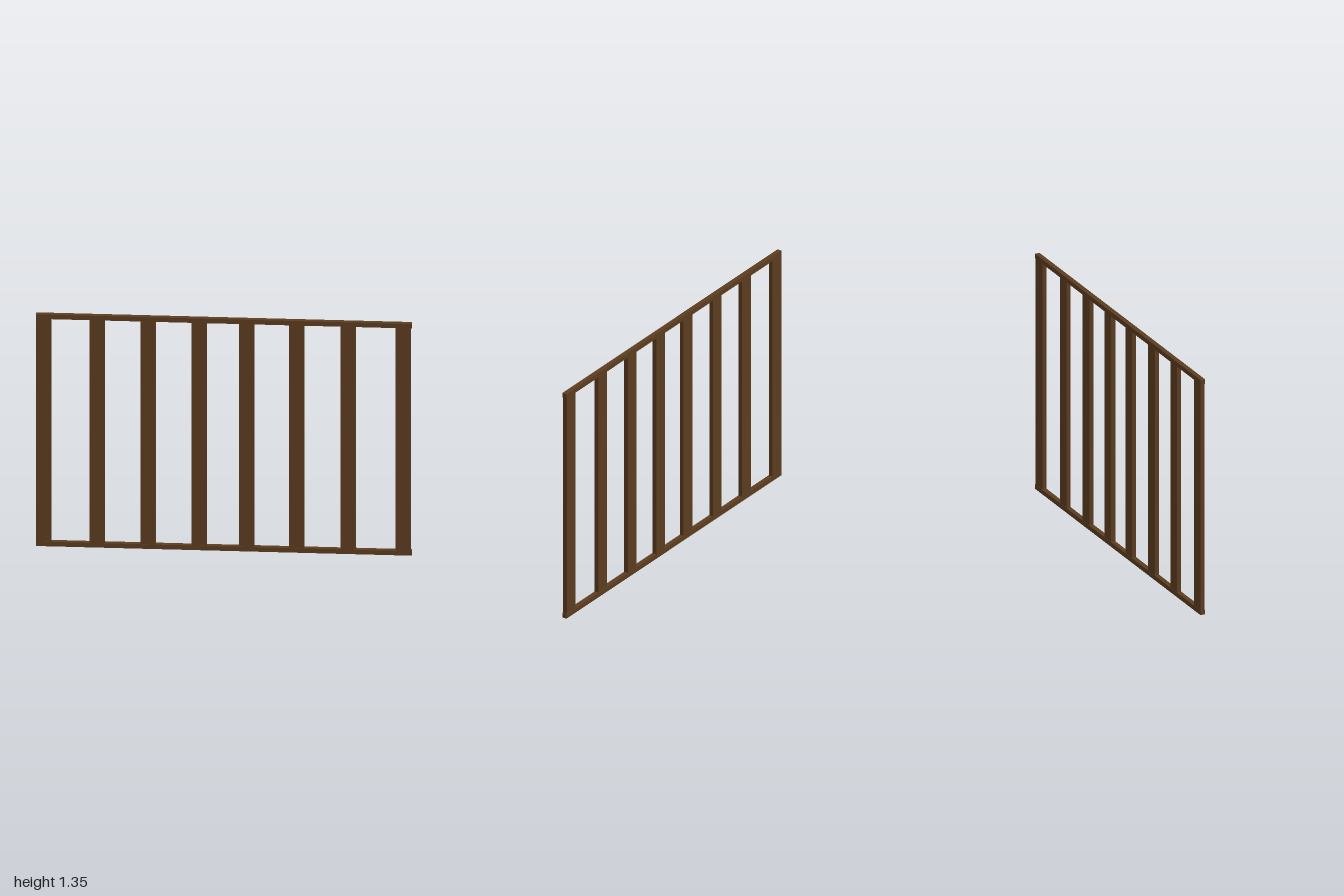
import * as THREE from 'three';

export function createModel() {
  const group = new THREE.Group();
  const wood = new THREE.MeshStandardMaterial({ color: 0x5c3c20 });
  const height = 1.345, railHeight = 0.026, railDepth = 0.027;
  const slatWidth = 0.081, slatDepth = 0.024;

  function addBoard(name, width, tall, depth, x, y) {
    const board = new THREE.Mesh(new THREE.BoxGeometry(width, tall, depth), wood);
    board.name = name;
    board.position.set(x, y, 0);
    group.add(board);
  }

  // Horizontal rails along the bottom and top
  addBoard('bottomRail', 2, railHeight, railDepth, 0, railHeight / 2);
  addBoard('topRail', 2, railHeight, railDepth, 0, height - railHeight / 2);

  // Upright slats, slightly unevenly spaced, between the rails
  const slatX = [-0.958, -0.674, -0.404, -0.131, 0.122, 0.387, 0.66, 0.953];
  slatX.forEach((x, i) =>
    addBoard(`slat${i + 1}`, slatWidth, height - 2 * railHeight, slatDepth, x, height / 2));

  return group;
}
